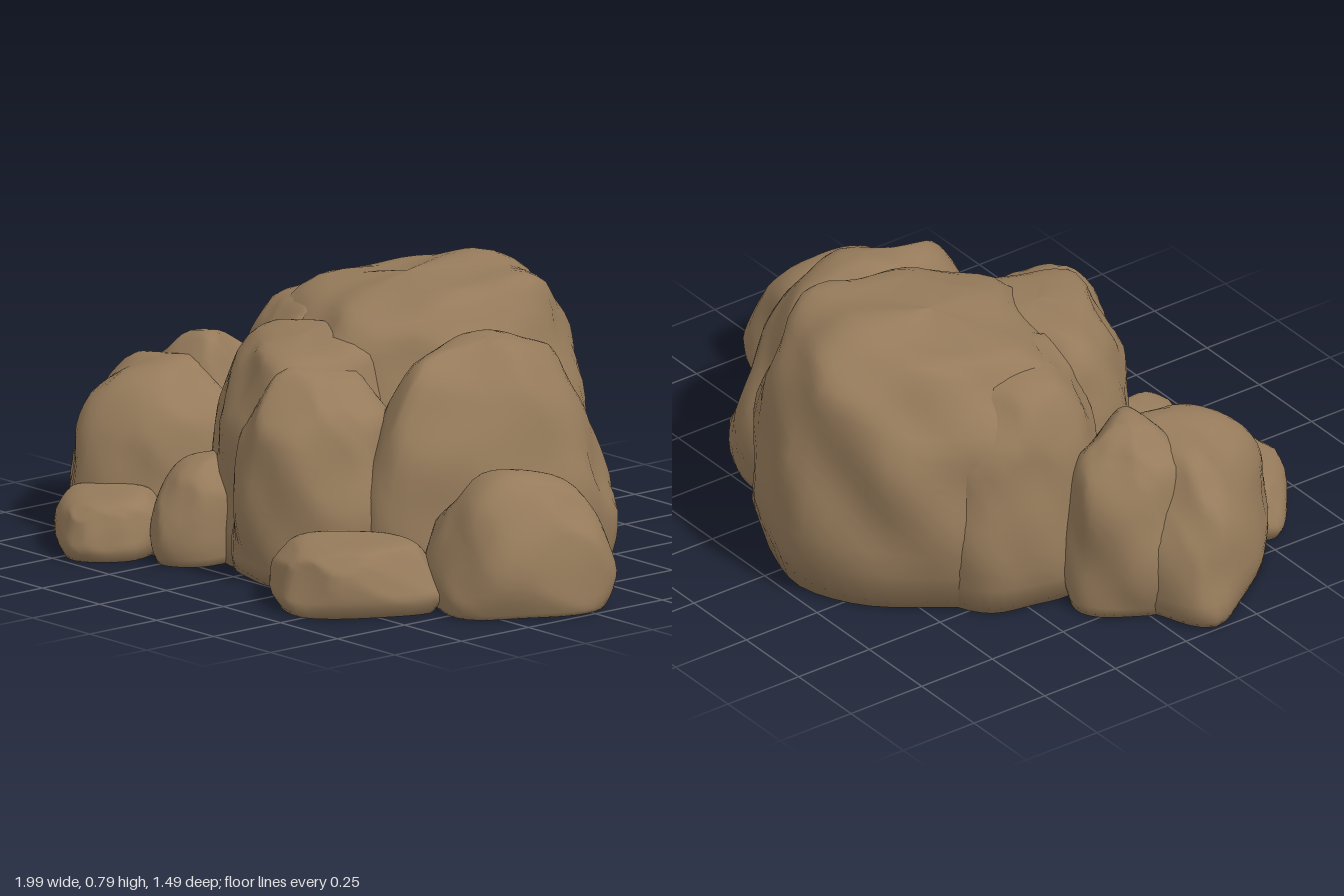
import * as THREE from 'three';

const stone = new THREE.MeshStandardMaterial({ color: 0x967b5b });
stone.name = 'brown stone';

const SIDES = 48, ROWS = 20;

function seeded(seed) {
  let s = seed * 7919 + 17;
  return () => {
    s = (s * 16807) % 2147483647;
    return s / 2147483647;
  };
}

// A boulder: a few footprint corners [x, z] lofted to a blunt dome, then chiselled by planes.
// bulge makes the dome boxier, slope [x, z] tilts its top.
function boulder(name, seed, height, bulge, slope, corners) {
  const rand = seeded(seed);
  for (let i = 0; i < 5; i++) rand();

  // footprint, anticlockwise from above, and the point the dome closes over
  const pts = corners.map(([x, z]) => new THREE.Vector3(x, 0, z));
  if (THREE.ShapeUtils.area(pts.map(p => new THREE.Vector2(p.x, -p.z))) < 0) pts.reverse();
  const ring = new THREE.CatmullRomCurve3(pts, true, 'centripetal').getSpacedPoints(SIDES).slice(0, SIDES);
  const mid = new THREE.Vector3();
  ring.forEach(p => mid.addScaledVector(p, 1 / SIDES));

  // dome rings, undercut near the ground
  const verts = [];
  for (let r = 0; r <= ROWS; r++) {
    const a = Math.pow(r / ROWS, 1.4) * Math.PI / 2;
    const h = r === 0 ? 0 : Math.pow(Math.sin(a), 2 / bulge);
    const s = r === ROWS ? 0 : Math.pow(Math.cos(a), 2 / bulge);
    const under = 1 - 0.1 * Math.pow(Math.max(0, 1 - h / 0.3), 2);
    for (const p of ring) {
      const v = mid.clone().lerp(p, s * under);
      v.y = h * height * (1 + slope[0] * (v.x - mid.x) + slope[1] * (v.z - mid.z));
      verts.push(v);
    }
  }

  // chiselled faces: press everything outside a plane back onto it
  const n = new THREE.Vector3();
  for (let i = 0; i < 22; i++) {
    const t = i * 2.4 + rand(), up = 0.05 + 0.75 * rand();
    const flat = Math.sqrt(1 - up * up);
    n.set(Math.cos(t) * flat, up, Math.sin(t) * flat);
    const reach = verts.map(v => n.dot(v));
    const far = Math.max(...reach), near = Math.min(...reach);
    const limit = far - (far - near) * (0.01 + 0.025 * rand());
    verts.forEach((v, j) => v.addScaledVector(n, -Math.max(0, reach[j] - limit)));
  }

  // gentle lumps
  const k = rand() * 6, amp = 0.011 * Math.min(1, height * 2);
  verts.forEach((v, i) => {
    const d = Math.sin(v.x * 21 + k) * Math.sin(v.y * 18 + k * 2) + Math.sin(v.z * 23 + v.y * 11 + k * 3) * 0.7;
    n.set(v.x - mid.x, v.y * 0.6, v.z - mid.z).normalize();
    v.addScaledVector(n, d * amp);
    v.y = i < SIDES ? 0 : Math.max(0.002, v.y);
  });

  // skin and flat base
  const index = [], base = verts.length;
  verts.push(mid);
  for (let j = 0; j < SIDES; j++) {
    const q = (j + 1) % SIDES;
    index.push(base, q, j);
    for (let r = 0; r < ROWS; r++) {
      const lo = r * SIDES, hi = lo + SIDES;
      index.push(lo + j, lo + q, hi + j);
      if (r < ROWS - 1) index.push(lo + q, hi + q, hi + j);
    }
  }
  const geo = new THREE.BufferGeometry().setFromPoints(verts);
  geo.setIndex(index);
  geo.computeVertexNormals();
  const mesh = new THREE.Mesh(geo, stone);
  mesh.name = name;
  return mesh;
}

export function createModel() {
  const model = new THREE.Group();
  model.name = 'rockPile';

  // tall boulders in the middle
  model.add(boulder('mainBoulder', 1, 0.75, 4, [0.1, -0.17],
    [[-0.12, -0.75], [0.32, -0.54], [0.27, 0.02], [0.08, 0.23], [-0.2, 0.23], [-0.59, -0.04], [-0.46, -0.5]]));
  model.add(boulder('backRightBoulder', 2, 0.67, 3.6, [0.1, 0],
    [[-0.4, -0.44], [-0.57, -0.38], [-0.62, -0.1], [-0.5, 0.08], [-0.15, 0.15], [-0.1, -0.2]]));
  model.add(boulder('leftBoulder', 3, 0.67, 2.4, [-0.3, 0],
    [[0.28, -0.54], [0.55, -0.47], [0.65, -0.15], [0.37, 0.33], [0.12, 0]]));
  model.add(boulder('frontBoulder', 4, 0.59, 2.9, [-0.3, 0.1],
    [[-0.13, 0.38], [0.1, 0.53], [0.35, 0.37], [0.3, 0.05], [-0.08, 0]]));
  model.add(boulder('frontShoulder', 5, 0.64, 4, [0, -0.1],
    [[-0.43, 0.14], [-0.2, 0.4], [0.12, 0.43], [0.22, 0.2], [0.1, -0.1], [-0.4, -0.05]]));

  // rocks at the two ends
  model.add(boulder('rightBoulder', 6, 0.48, 2.4, [0.1, 0],
    [[-1.01, 0.11], [-0.77, -0.04], [-0.38, 0.05], [-0.38, 0.4], [-0.66, 0.54]]));
  model.add(boulder('rightBackStone', 7, 0.53, 2.6, [0, 0],
    [[-0.86, 0], [-0.7, -0.16], [-0.52, -0.1], [-0.45, 0.2], [-0.78, 0.22]]));
  model.add(boulder('farLeftStone', 8, 0.385, 2.2, [0, 0],
    [[0.66, -0.15], [0.94, -0.14], [1.01, -0.02], [0.83, 0.34], [0.48, 0.21]]));

  // small stones in front
  model.add(boulder('frontLeftStone', 9, 0.19, 4.2, [0, -0.4],
    [[0.22, 0.48], [0.45, 0.26], [0.71, 0.33], [0.51, 0.68], [0.29, 0.61]]));
  model.add(boulder('frontRightStone', 10, 0.17, 3.8, [0.3, -0.4],
    [[-0.72, 0.52], [-0.43, 0.38], [-0.31, 0.6], [-0.42, 0.74], [-0.62, 0.64]]));
  model.add(boulder('middleRightStone', 11, 0.29, 3, [0, -0.6],
    [[-0.4, 0.4], [-0.34, 0.22], [-0.16, 0.26], [-0.13, 0.5], [-0.24, 0.58]]));
  return model;
}
